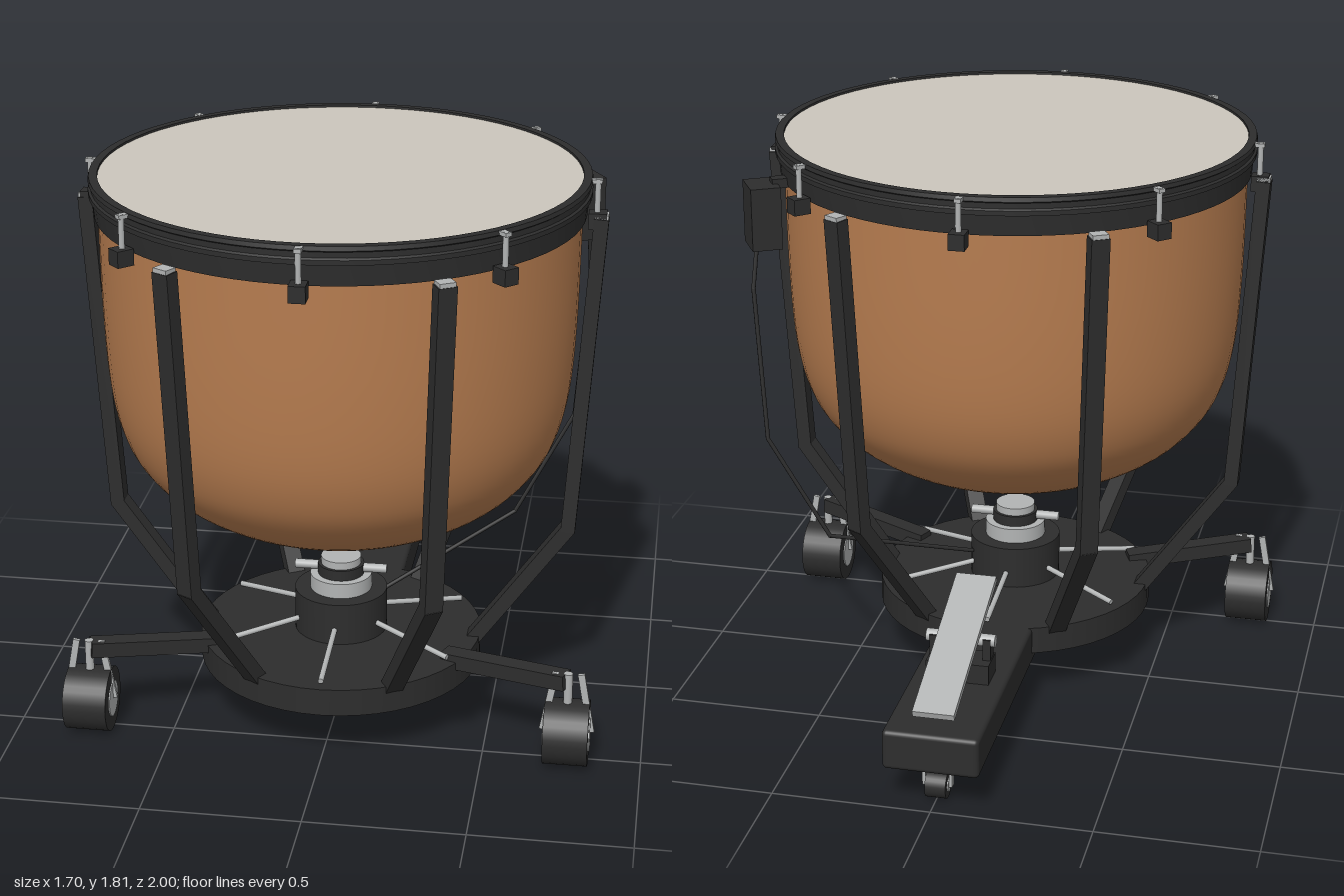
import * as THREE from 'three';
import { toCreasedNormals } from 'three/addons/utils/BufferGeometryUtils.js';
import { RoundedBoxGeometry } from 'three/addons/geometries/RoundedBoxGeometry.js';

const CZ = 0.19; // the drum axis sits forward of the model centre

function material(name, color, side = THREE.FrontSide) {
  const m = new THREE.MeshStandardMaterial({ color, side });
  m.name = name;
  return m;
}
const v = (x, y, z) => new THREE.Vector3(x, y, z);
// point at radius r, angle a and height y around the drum axis
const polar = (r, a, y) => v(r * Math.cos(a), y, CZ + r * Math.sin(a));

export function createModel() {
  const copper = material('copper', 0xb67c4f, THREE.DoubleSide);
  const black = material('blackMetal', 0x2d2d2d);
  const silver = material('silver', 0xb2b4b4);
  const skin = material('drumSkin', 0xcbc6bc);

  const model = new THREE.Group();
  model.name = 'kettledrum';

  function add(name, geometry, mat, pos, parent = model) {
    const mesh = new THREE.Mesh(geometry, mat);
    mesh.name = name;
    mesh.position.copy(pos);
    parent.add(mesh);
    return mesh;
  }
  function lathe(name, pts, mat) {
    const g = new THREE.LatheGeometry(pts.map(p => new THREE.Vector2(p[0], p[1])), 72);
    return add(name, toCreasedNormals(g, 0.5), mat, v(0, 0, CZ));
  }
  const disc = (name, r, y0, y1, mat) =>
    add(name, new THREE.CylinderGeometry(r, r, y1 - y0, 48), mat, v(0, (y0 + y1) / 2, CZ));
  // rectangular bar between two points; w is horizontal, h is across it
  function beam(name, a, b, w, h, mat) {
    const mesh = new THREE.Mesh(new THREE.BoxGeometry(w, h, a.distanceTo(b)), mat);
    mesh.name = name;
    mesh.position.lerpVectors(a, b, 0.5);
    mesh.lookAt(b);
    model.add(mesh);
    return mesh;
  }
  function rod(name, a, b, r, mat, sides = 12) {
    const g = new THREE.CylinderGeometry(r, r, a.distanceTo(b), sides).rotateX(Math.PI / 2);
    const mesh = new THREE.Mesh(g, mat);
    mesh.name = name;
    mesh.position.lerpVectors(a, b, 0.5);
    mesh.lookAt(b);
    model.add(mesh);
    return mesh;
  }

  // bowl, with a vent hole in the bottom
  const profile = new THREE.SplineCurve([
    [0.09, 0.648], [0.25, 0.67], [0.40, 0.713], [0.53, 0.785], [0.62, 0.87],
    [0.68, 0.97], [0.718, 1.12], [0.735, 1.36], [0.74, 1.71],
  ].map(p => new THREE.Vector2(...p)));
  const bowlGeometry = new THREE.LatheGeometry(profile.getPoints(36), 72);
  add('bowl', bowlGeometry, copper, v(0, 0, CZ));

  // rim and skin
  lathe('rimBand', [[0.73, 1.69], [0.752, 1.69], [0.758, 1.76], [0.73, 1.76], [0.73, 1.69]], black);
  lathe('counterHoop', [[0.735, 1.755], [0.767, 1.755], [0.767, 1.77], [0.76, 1.775],
    [0.76, 1.792], [0.767, 1.797], [0.764, 1.81], [0.738, 1.81], [0.735, 1.755]], black);
  disc('drumSkin', 0.74, 1.76, 1.803, skin);

  // tension rods and their lugs
  for (let i = 0; i < 8; i++) {
    const a = i * Math.PI / 4;
    const lug = add('lug', new THREE.BoxGeometry(0.055, 0.05, 0.05), black, polar(0.785, a, 1.682));
    lug.rotation.y = -a;
    rod('tensionRod', polar(0.782, a, 1.70), polar(0.782, a, 1.81), 0.009, silver);
    add('rodClaw', new THREE.BoxGeometry(0.04, 0.012, 0.022), silver, polar(0.775, a, 1.803)).rotation.y = -a;
  }

  // six bent legs, with spokes between them on the base
  for (let i = 0; i < 6; i++) {
    const a = i * Math.PI / 3;
    beam('upperLeg', polar(0.73, a, 0.65), polar(0.797, a, 1.69), 0.058, 0.045, black);
    beam('lowerLeg', polar(0.43, a, 0.24), polar(0.735, a, 0.665), 0.058, 0.045, black);
    add('legCap', new THREE.BoxGeometry(0.042, 0.018, 0.05), silver, polar(0.797, a, 1.693)).rotation.y = -a;
    const s = a + Math.PI / 6;
    rod('spoke', polar(0.13, s, 0.312), polar(0.43, s, 0.275), 0.009, silver);
  }

  // base and central hub
  disc('base', 0.457, 0.17, 0.26, black);
  disc('hub', 0.15, 0.26, 0.40, black);
  disc('hubCollar', 0.10, 0.40, 0.45, silver);
  disc('hubNeck', 0.075, 0.45, 0.485, black);
  disc('hubCap', 0.065, 0.485, 0.51, silver);
  rod('hubCrossbar', v(-0.15, 0.47, CZ), v(0.15, 0.47, CZ), 0.015, silver);

  // wheel with silver hub plates, axle along x
  function wheel(name, x, y, z, r, width, hubR) {
    const cyl = (rad, w) => new THREE.CylinderGeometry(rad, rad, w, 32).rotateZ(Math.PI / 2);
    add(name, cyl(r, width), black, v(x, y, z));
    add(name + 'Hub', cyl(hubR, width + 0.008), silver, v(x, y, z));
  }

  // front outriggers and casters
  for (const s of [-1, 1]) {
    const x = s * 0.765, z = 0.52;
    beam('outrigger', v(s * 0.36, 0.255, 0.36), v(s * 0.76, 0.285, z), 0.06, 0.05, black);
    wheel('frontWheel', x, 0.105, z, 0.105, 0.14, 0.058);
    rod('casterStem', v(x, 0.20, z), v(x, 0.31, z), 0.014, silver);
    for (const k of [-1, 1]) {
      beam('casterFork', v(x + k * 0.076, 0.11, z), v(x + k * 0.04, 0.31, z), 0.012, 0.022, silver);
    }
  }

  // pedal housing, pivot and footplate
  add('pedalHousing', new RoundedBoxGeometry(0.3, 0.13, 0.89, 3, 0.015), black, v(0, 0.195, -0.555));
  add('pivotBase', new THREE.BoxGeometry(0.2, 0.07, 0.1), black, v(0, 0.29, -0.6));
  for (const s of [-1, 1]) {
    add('pivotPost', new THREE.BoxGeometry(0.025, 0.08, 0.045), black, v(s * 0.085, 0.355, -0.59));
  }
  rod('pivotPin', v(-0.11, 0.385, -0.59), v(0.11, 0.385, -0.59), 0.02, silver, 20);
  beam('footplate', v(0, 0.495, -0.38), v(0, 0.302, -0.95), 0.13, 0.022, silver);

  // rear caster
  wheel('rearWheel', 0, 0.043, -0.9, 0.043, 0.065, 0.022);
  for (const s of [-1, 1]) {
    add('rearFork', new THREE.BoxGeometry(0.01, 0.08, 0.022), silver, v(s * 0.042, 0.08, -0.9));
  }
  add('rearForkCrown', new THREE.BoxGeometry(0.094, 0.012, 0.03), silver, v(0, 0.115, -0.9));
  rod('rearStem', v(0, 0.09, -0.9), v(0, 0.135, -0.9), 0.012, silver);

  // tuning gauge box on the rim, and its cable
  const ga = -Math.PI / 6;
  add('gaugeBox', new THREE.BoxGeometry(0.095, 0.2, 0.125), black, polar(0.83, ga, 1.6)).rotation.y = -ga;
  add('gaugeBracket', new THREE.BoxGeometry(0.06, 0.03, 0.04), black, polar(0.77, ga, 1.7)).rotation.y = -ga;
  const cablePoints = [v(0.745, 1.51, -0.21), v(0.752, 1.36, -0.245), v(0.715, 0.86, -0.27),
    v(0.53, 0.515, -0.225), v(0.13, 0.355, 0.1)];
  for (let i = 0; i < cablePoints.length - 1; i++) {
    rod('cable', cablePoints[i], cablePoints[i + 1], 0.007, black, 8);
    add('cableJoint', new THREE.SphereGeometry(0.007, 8, 6), black, cablePoints[i + 1]);
  }

  return model;
}
